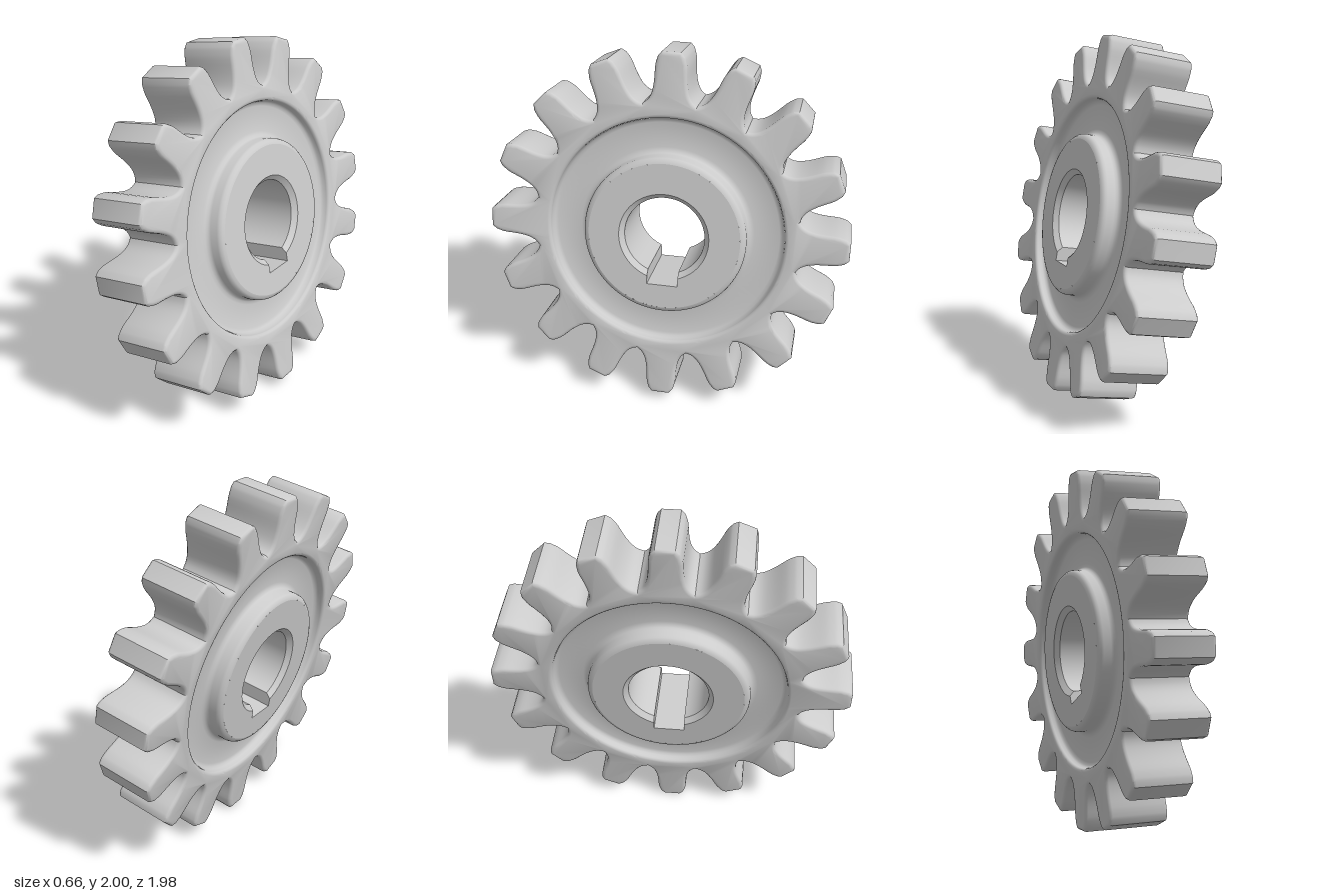
import * as THREE from 'three';
import { toCreasedNormals } from 'three/addons/utils/BufferGeometryUtils.js';

const TEETH = 16;
const HALF_RIM = 0.166, HALF_HUB = 0.21, BEVEL = 0.02;
const RECESS_R = 0.645, HUB_FACE_R = 0.415;
const KEY_HALF = 0.085, KEY_DEPTH = 0.28;
const material = new THREE.MeshStandardMaterial({ color: 0xcccccc });

function part(name, geometry) {
  const mesh = new THREE.Mesh(toCreasedNormals(geometry, 0.6), material);
  mesh.name = name;
  return mesh;
}

// Toothed rim: one flank curve, mirrored and repeated around the axis
function toothedRim() {
  const flank = new THREE.SplineCurve([
    [0.07, 0.967], [0.083, 0.92], [0.086, 0.86], [0.09, 0.815],
    [0.1, 0.77], [0.118, 0.737], [0.142, 0.716],
  ].map(([x, y]) => new THREE.Vector2(x, y))).getPoints(14);
  const half = [new THREE.Vector2(0.05, 0.99), ...flank];
  const mirrored = half.slice(0, -1).map((p) => new THREE.Vector2(-p.x, p.y));
  const tooth = [...half.slice().reverse(), ...mirrored];
  const outline = [];
  for (let k = 0; k < TEETH; k++) {
    const angle = (k * 2 * Math.PI) / TEETH;
    for (const p of tooth) outline.push(p.clone().rotateAround(new THREE.Vector2(), angle));
  }
  const shape = new THREE.Shape(outline);
  shape.holes.push(new THREE.Path().absarc(0, 0, RECESS_R, 0, Math.PI * 2, true));
  const geometry = new THREE.ExtrudeGeometry(shape, {
    depth: 2 * (HALF_RIM - BEVEL), curveSegments: 96,
    bevelThickness: BEVEL, bevelSize: BEVEL, bevelOffset: -BEVEL, bevelSegments: 3,
  });
  return geometry.translate(0, 0, -(HALF_RIM - BEVEL));
}

// Recessed web with filleted corners, rising to the rounded hub edge
function webAndHubSide() {
  const profile = [
    [RECESS_R, 0.148], [0.641, 0.13], [0.632, 0.118], [0.615, 0.112],
    [0.48, 0.112], [0.462, 0.116], [0.45, 0.126], [0.445, 0.14],
    [0.445, 0.18], [0.441, 0.193], [0.43, 0.205], [HUB_FACE_R, HALF_HUB],
  ].map(([r, h]) => new THREE.Vector2(r, h));
  return new THREE.LatheGeometry(profile, 96).rotateX(Math.PI / 2);
}

// Bore outline of radius r with a rectangular keyway at the bottom
function boreLoop(r) {
  const gap = Math.asin(KEY_HALF / r), n = 80, points = [];
  for (let i = 0; i <= n; i++) {
    const a = -Math.PI / 2 + gap + ((2 * Math.PI - 2 * gap) * i) / n;
    points.push([r * Math.cos(a), r * Math.sin(a)]);
  }
  for (let i = 0; i <= 8; i++) points.push([KEY_HALF * (i / 4 - 1), -KEY_DEPTH]);
  return points;
}

// Hub end faces, bore chamfers, bore wall and keyway as one loft
function hubBore() {
  const wide = boreLoop(0.247), narrow = boreLoop(0.22);
  const rim = wide.map(([x, y]) => {
    const s = HUB_FACE_R / Math.hypot(x, y);
    return [x * s, y * s];
  });
  const stations = [
    [rim, HALF_HUB], [wide, HALF_HUB], [narrow, HALF_HUB - 0.027],
    [narrow, 0.027 - HALF_HUB], [wide, -HALF_HUB], [rim, -HALF_HUB],
  ];
  const n = rim.length, positions = [], index = [];
  stations.forEach(([loop, z], s) => {
    for (const [x, y] of loop) positions.push(x, y, z);
    if (s === stations.length - 1) return;
    for (let i = 0; i < n; i++) {
      const j = (i + 1) % n, a = s * n, b = a + n;
      index.push(a + i, a + j, b + j, a + i, b + j, b + i);
    }
  });
  const geometry = new THREE.BufferGeometry();
  geometry.setAttribute('position', new THREE.Float32BufferAttribute(positions, 3));
  geometry.setIndex(index);
  geometry.computeVertexNormals();
  return geometry;
}

export function createModel() {
  // The gear is built around z, then turned so its axis runs along x
  const gear = new THREE.Group();
  gear.name = 'gear';
  gear.rotation.y = Math.PI / 2;
  gear.add(part('toothedRim', toothedRim()));
  gear.add(part('leftWebAndHub', webAndHubSide()));
  gear.add(part('rightWebAndHub', webAndHubSide().rotateY(Math.PI)));
  gear.add(part('hubBoreWithKeyway', hubBore()));

  // Lean of the whole wheel
  const tilt = new THREE.Group();
  tilt.name = 'tiltedGear';
  tilt.rotation.z = THREE.MathUtils.degToRad(10);
  tilt.position.y = 1;
  tilt.add(gear);

  const model = new THREE.Group();
  model.name = 'spurGear';
  model.add(tilt);
  return model;
}
